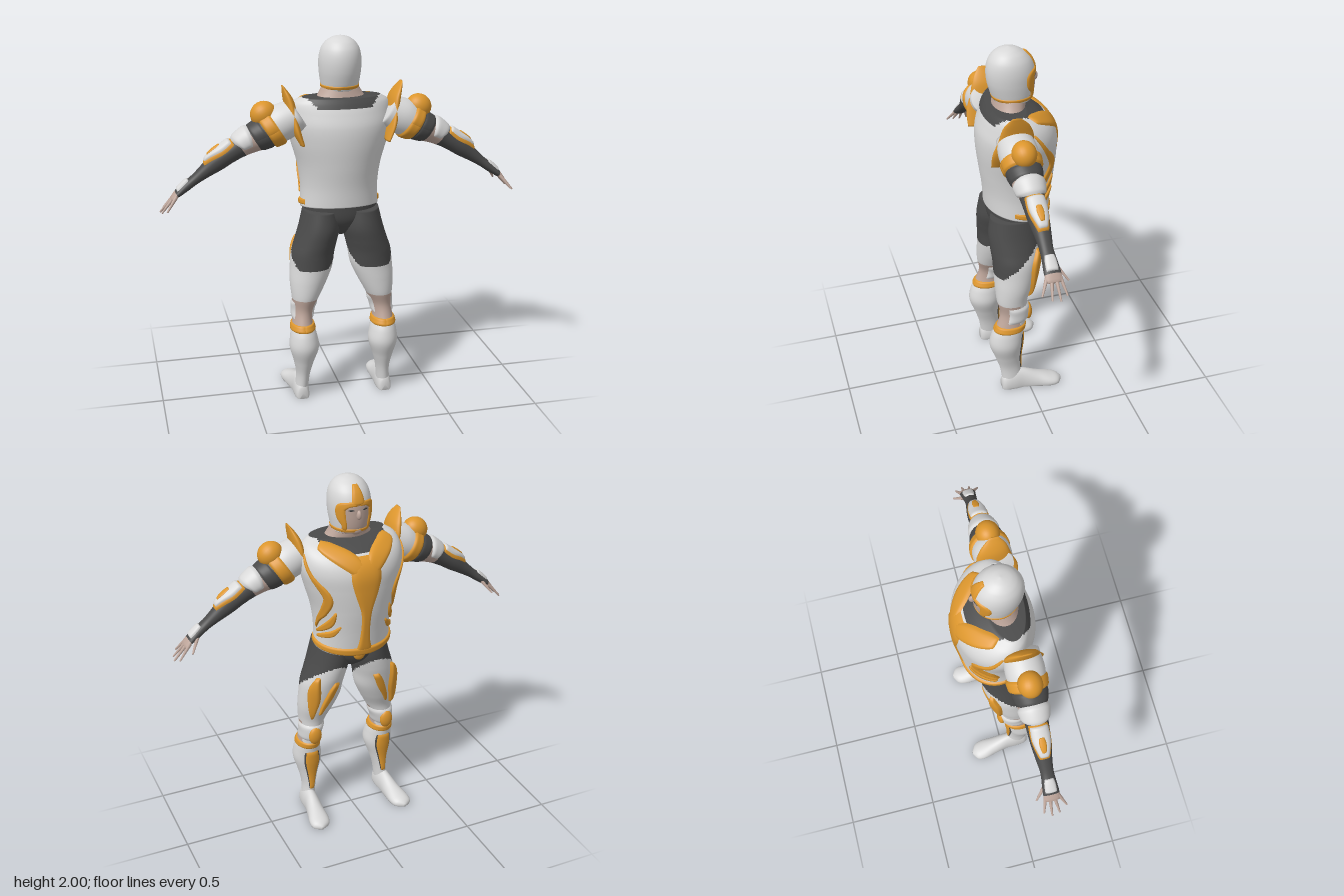
import * as THREE from 'three';

const mat = (name, color) => Object.assign(new THREE.MeshStandardMaterial({ color }), { name });
const white = mat('white armour', 0xd8d8d8), gold = mat('gold trim', 0xdc962d);
const dark = mat('dark fabric', 0x4a4a4a), skin = mat('skin', 0xbda59a);
const PALETTE = [white, gold, dark, skin], W = 0, G = 1, D = 2, S = 3;
const TOP = -Math.PI / 2; // outer side of the arm in its local frame
const { clamp } = THREE.MathUtils;
const group = name => Object.assign(new THREE.Group(), { name });

function add(parent, name, geometry, material) {
  const mesh = Object.assign(new THREE.Mesh(geometry, material), { name });
  parent.add(mesh);
  return mesh;
}
// Smooth surface through elliptical rows [y, centreX, radiusX, zMin, zMax]; angle 0 faces -z.
// tilt lowers the front near the bottom end; values below floor are flattened.
function surface(rows, tilt = 0, floor = -1) {
  const slope = (i, k) => {
    const a = rows[Math.max(i - 1, 0)], b = rows[Math.min(i + 1, rows.length - 1)];
    return (b[k] - a[k]) / (b[0] - a[0]);
  };
  const f = (a, y) => {
    let i = 0;
    while (i < rows.length - 2 && y > rows[i + 1][0]) i++;
    const p = rows[i], q = rows[i + 1], h = q[0] - p[0], t = clamp((y - p[0]) / h, 0, 1), u = 1 - t;
    const [cx, rx, z0, z1] = [1, 2, 3, 4].map(k => u * u * (1 + 2 * t) * p[k] + t * t * (3 - 2 * t) * q[k] +
      h * t * u * (u * slope(i, k) - t * slope(i + 1, k)));
    const drop = tilt * Math.cos(a) * clamp((f.y0 + 0.25 - y) / 0.25, 0, 1);
    const z = (z0 + z1) / 2 - (z1 - z0) / 2 * Math.cos(a);
    return new THREE.Vector3(cx + rx * Math.sin(a), y - drop, Math.max(z, floor));
  };
  return Object.assign(f, { y0: rows[0][0], y1: rows[rows.length - 1][0] });
}
function build(points, index) {
  const g = new THREE.BufferGeometry().setFromPoints(points);
  g.setIndex(index);
  g.computeVertexNormals();
  return g;
}
// Closed skin over a surface; colourAt picks a palette number for each face
function loft(parent, name, f, colourAt, n = 60, m = 56) {
  const pts = [], lists = PALETTE.map(() => []), used = [];
  for (let i = -1; i <= n + 1; i++) { // first and last rings close the ends
    const y = f.y0 + (f.y1 - f.y0) * clamp(i / n, 0, 1), c = f(0, y).lerp(f(Math.PI, y), 0.5);
    for (let j = 0; j < m; j++) pts.push(f(j / m * 2 * Math.PI, y).lerp(c, i < 0 || i > n ? 1 : 0));
  }
  for (let i = 0; i < n + 2; i++) for (let j = 0; j < m; j++) {
    const a = i * m + j, b = i * m + (j + 1) % m;
    const mid = pts[a].clone().lerp(pts[b + m], 0.5);
    lists[colourAt(mid)].push(a, a + m, b, b, a + m, b + m);
  }
  const g = build(pts, lists.flat());
  let start = 0;
  lists.forEach((l, k) => {
    if (l.length) g.addGroup(start, l.length, used.push(PALETTE[k]) - 1);
    start += l.length;
  });
  return add(parent, name, g, used);
}
// Raised plate following a path of [angle, y, halfWidth] on a surface of mean radius R
function plate(parent, name, f, R, path, material, lift = 0.012, n = 36, m = 10) {
  const curve = new THREE.CatmullRomCurve3(path.map(p => new THREE.Vector3(p[0] * R, p[1], p[2])));
  const pts = [], index = [], e = 0.002;
  for (let i = 0; i <= n; i++) {
    const u = i / n, c = curve.getPoint(u), T = curve.getTangent(u), len = Math.hypot(T.x, T.y) || 1;
    for (let k = 0; k <= m; k++) {
      const t = k / m * 2 - 1, w = Math.max(c.z, 0) * t;
      const a = (c.x - T.y / len * w) / R, y = c.y + T.x / len * w;
      const normal = f(a, y + e).sub(f(a, y - e)).cross(f(a + e / R, y).sub(f(a - e / R, y))).normalize();
      pts.push(f(a, y).addScaledVector(normal, lift * (1 - t ** 6) * (1 - (2 * u - 1) ** 14) - 0.002));
      const q = i * (m + 1) + k, r = q + m + 1;
      if (i < n && k < m) index.push(q + 1, r + 1, q, q, r + 1, r);
    }
  }
  return add(parent, name, build(pts, index), material);
}
const band = (parent, name, f, R, y, w, material, lift) =>
  plate(parent, name, f, R, [-3.4, -1.7, 0, 1.7, 3.4].map(a => [a, y, w]), material, lift, 64);
const ball = (parent, name, r, pos, scale, material) =>
  add(parent, name, new THREE.SphereGeometry(r, 28, 20).scale(...scale).translate(...pos), material);

// Copy of a side group reflected across x = 0
function mirrored(side, name) {
  const out = group(name), flip = new THREE.Matrix4().makeScale(-1, 1, 1);
  side.updateMatrixWorld(true);
  side.children.forEach(o => {
    const g = o.geometry.clone().applyMatrix4(o.matrixWorld).applyMatrix4(flip), ix = g.index.array;
    for (let i = 0; i < ix.length; i += 3) [ix[i], ix[i + 1]] = [ix[i + 1], ix[i]];
    add(out, o.name, g, o.material);
  });
  return out;
}

function makeArm() {
  const arm = group('leftArm');
  arm.position.set(0.28, 1.57, 0.085);
  arm.rotation.z = -2.131; // local y runs to the fingertips, local x points down
  const f = surface([[-0.06, -0.01, 0.085, -0.09, 0.09], [0.03, -0.02, 0.098, -0.1, 0.1], [0.1, -0.022, 0.09, -0.095, 0.095],
    [0.17, -0.03, 0.08, -0.086, 0.086], [0.24, -0.04, 0.068, -0.07, 0.07], [0.3, -0.042, 0.057, -0.06, 0.06],
    [0.36, -0.043, 0.052, -0.056, 0.056], [0.42, -0.042, 0.05, -0.052, 0.052], [0.5, -0.036, 0.037, -0.042, 0.04],
    [0.57, -0.03, 0.027, -0.034, 0.034], [0.63, -0.026, 0.025, -0.038, 0.038], [0.69, -0.02, 0.018, -0.042, 0.042], [0.73, -0.014, 0.008, -0.034, 0.034]]);
  loft(arm, 'armAndGlove', f, p => p.y < 0.13 ? W : p.y < 0.2 ? D : p.y < 0.28 ? S : p.y < 0.685 ? D : S);
  band(arm, 'shoulderBand', f, 0.09, 0.1, 0.034, gold, 0.013);
  band(arm, 'sleeveCuff', f, 0.08, 0.168, 0.034, dark, 0.006);
  ball(arm, 'shoulderBall', 0.066, [-0.112, 0.09, 0], [1, 1.05, 0.95], gold);
  plate(arm, 'upperArmShell', f, 0.065, [-1.9, -0.9, 0, 0.9, 1.9].map(a => [TOP + a, 0.25, 0.056 - 0.009 * a * a]), white, 0.015);
  plate(arm, 'forearmTrim', f, 0.05, [[TOP, 0.3, 0.052], [TOP, 0.38, 0.06], [TOP, 0.49, 0.036]], gold, 0.012);
  plate(arm, 'forearmPlate', f, 0.05, [[TOP, 0.305, 0.043], [TOP, 0.38, 0.048], [TOP, 0.48, 0.024]], white, 0.02);
  plate(arm, 'forearmInlay', f, 0.05, [[TOP, 0.36, 0.012], [TOP, 0.4, 0.018], [TOP, 0.45, 0.01]], gold, 0.024);
  plate(arm, 'handPlate', f, 0.035, [[TOP, 0.6, 0.026], [TOP, 0.63, 0.032], [TOP, 0.68, 0.03]], white, 0.01);
  // fingers and thumb as [base s, base z, tip s, tip z]
  for (const [s, z, s2, z2] of [[0.7, -0.032, 0.795, -0.052], [0.71, -0.011, 0.818, -0.014],
    [0.71, 0.011, 0.81, 0.027], [0.7, 0.032, 0.78, 0.07], [0.65, -0.03, 0.72, -0.078]]) {
    const dir = new THREE.Vector3(0.03, s2 - s, z2 - z);
    const finger = add(arm, 'finger', new THREE.CylinderGeometry(0.0045, 0.0105, dir.length(), 10), skin);
    finger.position.set(-0.001, (s + s2) / 2, (z + z2) / 2);
    finger.quaternion.setFromUnitVectors(new THREE.Vector3(0, 1, 0), dir.normalize());
  }
  return arm;
}

function makeLeg() {
  const leg = group('leftLeg');
  const f = surface([[0.04, 0.236, 0.036, 0.04, 0.15], [0.14, 0.228, 0.038, 0.045, 0.165], [0.22, 0.225, 0.055, 0.045, 0.19],
    [0.31, 0.223, 0.08, 0.035, 0.22], [0.38, 0.225, 0.073, 0.03, 0.21], [0.45, 0.227, 0.056, 0.02, 0.178], [0.52, 0.22, 0.055, 0.005, 0.158],
    [0.6, 0.205, 0.077, 0, 0.172], [0.68, 0.187, 0.101, -0.03, 0.176], [0.76, 0.168, 0.116, -0.055, 0.176], [0.84, 0.157, 0.118, -0.075, 0.18],
    [0.9, 0.14, 0.115, -0.088, 0.186], [0.98, 0.118, 0.112, -0.095, 0.19], [1.08, 0.108, 0.098, -0.09, 0.176]]);
  loft(leg, 'leg', f, p => p.y > 0.76 + 0.85 * Math.max(0, 0.15 - p.z) ? D
    : p.y > 0.59 ? W : p.y > 0.44 && p.z > 0.06 ? S : W, 120);
  band(leg, 'kneeBand', f, 0.07, 0.43, 0.02, gold, 0.01);
  plate(leg, 'kneeGuard', f, 0.065, [-2.1, -1, 0, 1, 2.1].map(a => [a, 0.52, 0.052]), white, 0.013);
  ball(leg, 'kneeCap', 0.05, [0.22, 0.51, 0.0], [0.75, 1.05, 0.45], gold);
  for (const [name, w, material, lift] of [['shinEdge', 0.007, dark, 0.006], ['shinPanel', 0, gold, 0.01]])
    plate(leg, name, f, 0.06, [[0, 0.385, 0.034 + w], [0, 0.3, 0.034 + w], [0, 0.2, 0.027 + w], [0, 0.12, 0.02 + w]], material, lift);
  plate(leg, 'outerThighPlate', f, 0.11, [[0.75, 0.91, 0.01], [0.72, 0.83, 0.034], [0.6, 0.73, 0.032], [0.45, 0.62, 0.006]], gold, 0.022);
  plate(leg, 'innerThighPlate', f, 0.11, [[-0.3, 0.87, 0.018], [-0.12, 0.8, 0.022], [0.03, 0.73, 0.018], [0.1, 0.65, 0.005]], gold, 0.016);
  // foot lofted from heel to toe with a flat sole
  const foot = surface([[-0.157, 0.236, 0.025, -0.03, 0.07], [-0.14, 0.236, 0.036, -0.05, 0.09], [-0.09, 0.236, 0.042, -0.06, 0.115],
    [-0.03, 0.238, 0.042, -0.05, 0.11], [0.05, 0.246, 0.05, -0.04, 0.078], [0.12, 0.254, 0.058, -0.025, 0.054],
    [0.165, 0.258, 0.046, -0.015, 0.038], [0.188, 0.26, 0.01, 0, 0.02]], 0, 0);
  loft(leg, 'foot', foot, () => W, 40, 36).rotation.x = -Math.PI / 2;
  return leg;
}

function makeTorso() {
  const torso = group('torso');
  const f = surface([[1.085, 0, 0.212, -0.165, 0.178], [1.2, 0, 0.21, -0.18, 0.185], [1.32, 0, 0.226, -0.197, 0.2], [1.45, 0, 0.262, -0.205, 0.214],
    [1.54, 0, 0.282, -0.2, 0.212], [1.61, 0, 0.278, -0.165, 0.192], [1.66, 0, 0.256, -0.1, 0.172], [1.69, 0, 0.21, -0.03, 0.155]], 0.022);
  loft(torso, 'vest', f, p => p.y > (p.z < 0 ? 1.635 : 1.642) && Math.abs(p.x) < 0.145 + (p.y - 1.645) ? D : W, 120, 96);
  plate(torso, 'chestStripe', f, 0.24, [[0, 1.09, 0.065], [0, 1.17, 0.036], [0, 1.31, 0.031], [0, 1.43, 0.062], [0, 1.52, 0.076], [0, 1.63, 0.062]], gold, 0.013);
  plate(torso, 'vestRim', f, 0.21, [[-1.95, 1.115, 0.016], [-1, 1.108, 0.018], [0, 1.105, 0.022], [1, 1.108, 0.018], [1.95, 1.115, 0.016]], gold, 0.012, 64);
  for (const s of [-1, 1]) {
    const strip = (name, path) => plate(torso, name, f, 0.24, path.map(([a, y, w]) => [s * a, y, w]), gold);
    strip('collarStripe', [[0.08, 1.55, 0.035], [0.28, 1.605, 0.045], [0.6, 1.645, 0.034], [0.95, 1.672, 0.014]]);
    strip('upperRibStripe', [[1.4, 1.63, 0.01], [1.16, 1.53, 0.014], [0.86, 1.41, 0.03], [1.05, 1.33, 0.027], [1.3, 1.27, 0.016], [1.5, 1.2, 0.006]]);
    strip('middleRibStripe', [[0.72, 1.33, 0.006], [0.88, 1.27, 0.022], [1.15, 1.225, 0.018], [1.48, 1.185, 0.006]]);
    strip('lowerRibStripe', [[0.62, 1.25, 0.006], [0.85, 1.205, 0.018], [1.15, 1.18, 0.015], [1.45, 1.16, 0.005]]);
  }
  loft(torso, 'pelvis', surface([[0.93, 0, 0.035, -0.02, 0.08], [0.97, 0, 0.1, -0.075, 0.125],
    [1.03, 0, 0.185, -0.098, 0.16], [1.12, 0, 0.2, -0.1, 0.17]]), () => D, 24);
  ball(torso, 'buckle', 0.035, [0, 1.04, -0.105], [1, 1.1, 0.5], gold);
  loft(torso, 'neck', surface([[1.64, 0, 0.17, -0.02, 0.14], [1.69, 0, 0.125, -0.04, 0.128], [1.76, 0, 0.085, -0.05, 0.11]]), () => S, 20);
  return torso;
}

function makeHead() {
  const head = group('head');
  const f = surface([[1.72, 0, 0.094, -0.078, 0.122], [1.76, 0, 0.102, -0.09, 0.138], [1.82, 0, 0.11, -0.096, 0.154],
    [1.88, 0, 0.111, -0.094, 0.158], [1.93, 0, 0.101, -0.076, 0.148], [1.965, 0, 0.08, -0.046, 0.125],
    [1.985, 0, 0.055, -0.015, 0.098], [1.995, 0, 0.032, 0.01, 0.07], [2, 0, 0.004, 0.036, 0.044]]);
  loft(head, 'helmetAndFace', f, p => p.z < 0 && Math.abs(p.x) < 0.075 && p.y < 1.885 ? S : W, 90);
  band(head, 'helmetRim', f, 0.1, 1.738, 0.01, gold, 0.006);
  plate(head, 'foreheadStripe', f, 0.1, [[0, 1.972, 0.02], [0, 1.93, 0.03], [0, 1.875, 0.036]], gold, 0.009);
  for (const s of [-1, 1]) {
    plate(head, 'cheekGuard', f, 0.1, [[0, 1.883, 0.012], [0.45, 1.88, 0.014], [0.82, 1.86, 0.026],
      [0.85, 1.815, 0.026], [0.72, 1.775, 0.016], [0.7, 1.735, 0.012]].map(([a, y, w]) => [s * a, y, w]), gold, 0.008);
    plate(head, 'eye', f, 0.1, [[s * 0.2, 1.85, 0.002], [s * 0.36, 1.852, 0.006], [s * 0.5, 1.85, 0.002]], dark, 0.004);
  }
  ball(head, 'nose', 0.02, [0, 1.825, -0.095], [0.65, 1.3, 0.9], skin);
  ball(head, 'chin', 0.035, [0, 1.738, -0.058], [1.1, 0.8, 0.9], skin);
  return head;
}

export function createModel() {
  const model = group('armouredFigure'), arm = makeArm(), leg = makeLeg(), fin = group('leftShoulderFin');
  loft(fin, 'shoulderFin', surface([[1.46, 0.228, 0.012, 0.12, 0.2], [1.54, 0.256, 0.024, 0.01, 0.2], [1.62, 0.272, 0.028, -0.01, 0.175],
    [1.68, 0.284, 0.026, 0.005, 0.16], [1.72, 0.298, 0.018, 0.03, 0.145], [1.76, 0.316, 0.004, 0.07, 0.115]]), () => G, 36, 32);
  model.add(makeTorso(), makeHead(), arm, leg, fin);
  model.add(mirrored(arm, 'rightArm'), mirrored(leg, 'rightLeg'), mirrored(fin, 'rightShoulderFin'));
  return model;
}
